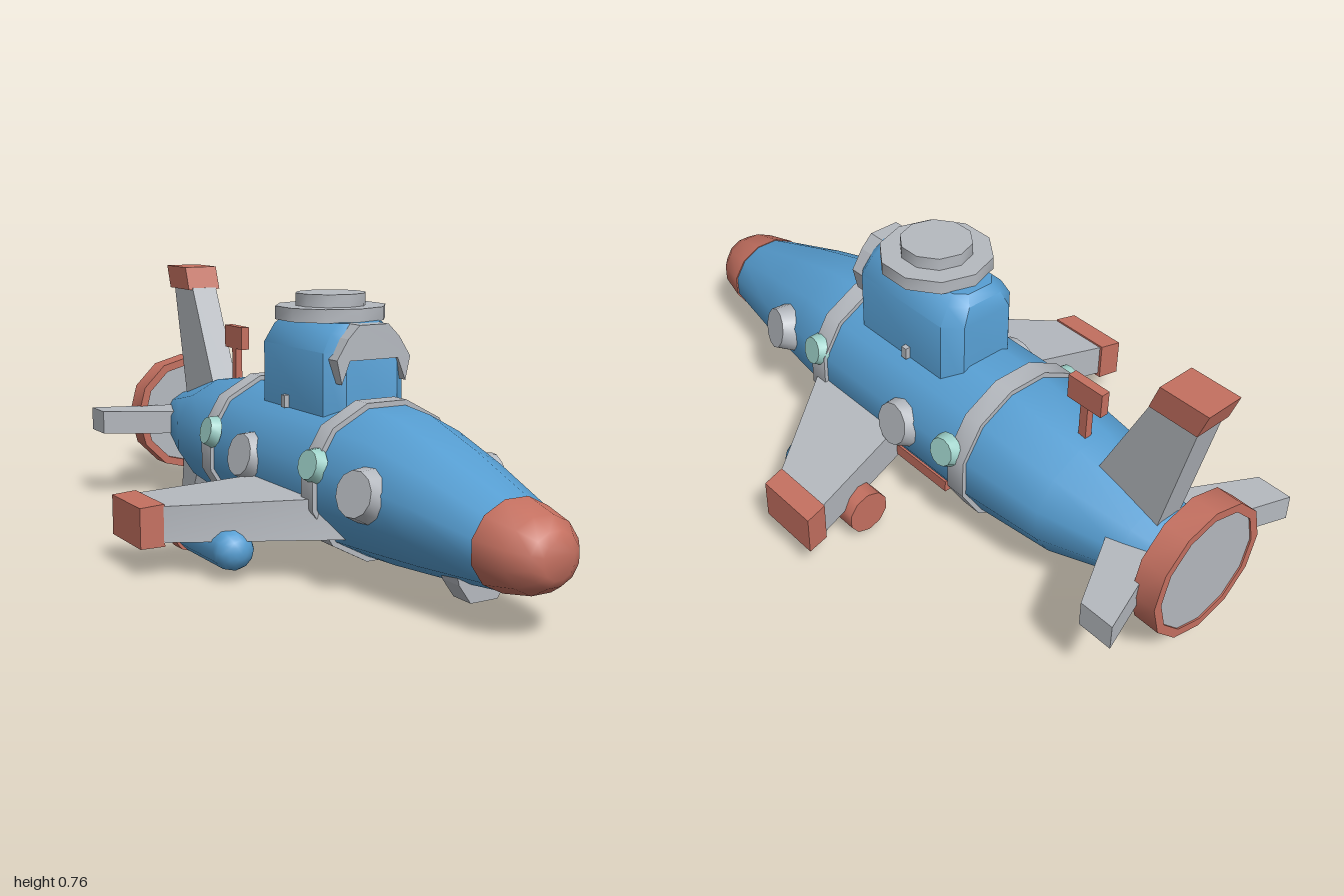
import * as THREE from 'three';
import { toCreasedNormals } from 'three/addons/utils/BufferGeometryUtils.js';

const paint = (name, color) => {
  const m = new THREE.MeshStandardMaterial({ color });
  m.name = name;
  return m;
};

// Closed solid through a list of rings with equal point counts
function loft(rings, crease = 0.75) {
  const n = rings[0].length, last = (rings.length - 1) * n, pts = rings.flat();
  let tris = [];
  for (let r = 0; r < last; r += n) {
    for (let i = 0; i < n; i++) {
      const j = (i + 1) % n;
      tris.push([r + i, r + j, r + n + j], [r + i, r + n + j, r + n + i]);
    }
  }
  for (let i = 1; i < n - 1; i++) tris.push([0, i + 1, i], [last, last + i, last + i + 1]);
  // Flip the faces if the solid came out inside out
  const v = pts.map(p => new THREE.Vector3(...p));
  const volume = tris.reduce((s, [a, b, c]) => s + v[a].dot(v[b].clone().cross(v[c])), 0);
  if (volume < 0) tris = tris.map(([a, b, c]) => [a, c, b]);
  const g = new THREE.BufferGeometry();
  g.setAttribute('position', new THREE.Float32BufferAttribute(pts.flat(), 3));
  g.setIndex(tris.flat());
  return toCreasedNormals(g, crease);
}

// Twelve-sided oval with a flat top; rx and ry reach the flats
function oval(z, y, rx, ry) {
  return Array.from({ length: 12 }, (_, i) => {
    const a = (i + 0.5) * Math.PI / 6, k = 1 / Math.cos(Math.PI / 12);
    return [Math.cos(a) * rx * k, y + Math.sin(a) * ry * k, z];
  });
}

// Rectangle with cut corners, lying flat at height y
function cutRect(y, hx, z0, z1, c) {
  return [[hx, z0 + c], [hx, z1 - c], [hx - c, z1], [c - hx, z1],
    [-hx, z1 - c], [-hx, z0 + c], [c - hx, z0], [hx - c, z0]].map(([x, z]) => [x, y, z]);
}

const disc = (r0, r1, h, sides = 12) => toCreasedNormals(new THREE.CylinderGeometry(r0, r1, h, sides), 0.75);

export function createModel() {
  const group = new THREE.Group();
  const blue = paint('blue hull paint', 0x579fd3);
  const red = paint('red trim paint', 0xc47060);
  const gray = paint('light gray metal', 0xb5b9bf);
  const teal = paint('teal glass', 0x9dd0c8);

  const add = (name, geometry, material, x = 0, y = 0, z = 0) => {
    const m = new THREE.Mesh(geometry, material);
    m.name = name;
    m.position.set(x, y, z);
    group.add(m);
    return m;
  };
  const box = (name, mat, w, h, d, x, y, z) => add(name, new THREE.BoxGeometry(w, h, d), mat, x, y, z);

  // Hull and nose
  add('hull', loft([
    oval(-0.94, 0.25, 0.08, 0.08), oval(-0.82, 0.25, 0.125, 0.11), oval(-0.6, 0.25, 0.195, 0.17),
    oval(-0.35, 0.255, 0.217, 0.2), oval(0.28, 0.255, 0.217, 0.2), oval(0.42, 0.253, 0.2, 0.192),
    oval(0.62, 0.233, 0.168, 0.157), oval(0.85, 0.207, 0.122, 0.108)]), blue);
  add('nose', loft([
    oval(0.845, 0.207, 0.128, 0.112), oval(0.94, 0.205, 0.106, 0.092),
    oval(0.985, 0.205, 0.07, 0.065), oval(1, 0.205, 0.045, 0.045)], 1.0), red);
  for (const z of [-0.328, 0.27]) {
    add('hullBand', loft([oval(z - 0.03, 0.255, 0.228, 0.213), oval(z + 0.03, 0.255, 0.228, 0.213)]), gray);
  }

  // Conning tower with hooded window and hatch
  add('tower', loft([
    cutRect(0.38, 0.125, -0.195, 0.225, 0.045), cutRect(0.59, 0.125, -0.195, 0.225, 0.045),
    cutRect(0.64, 0.095, -0.185, 0.21, 0.04), cutRect(0.665, 0.07, -0.165, 0.19, 0.03)]), blue);
  const half = [[0.045, 0.665], [0.08, 0.63], [0.115, 0.575], [0.1, 0.51], [0.075, 0.572]];
  const hood = new THREE.Shape([...half, ...half.map(([x, y]) => [-x, y]).reverse()]
    .map(p => new THREE.Vector2(...p)));
  add('towerWindow', new THREE.ExtrudeGeometry(hood, { depth: 0.07, bevelEnabled: false }), gray, 0, 0, 0.165);
  add('hatchBase', disc(0.157, 0.157, 0.037, 10), gray, 0, 0.682, 0.01);
  add('hatchLid', disc(0.1, 0.1, 0.035, 10), gray, 0, 0.718, 0.01);

  // Periscope
  box('periscopeStem', red, 0.022, 0.12, 0.025, 0, 0.475, -0.567);
  box('periscopeHead', red, 0.026, 0.07, 0.115, 0, 0.555, -0.567);

  // Upright tail fin, its cap, the lower fin and the front skid
  const slab = (y, hx, z0, z1) => [[-hx, y, z0], [hx, y, z0], [hx, y, z1], [-hx, y, z1]];
  add('upperFin', loft([slab(0.3, 0.042, -0.85, -0.61), slab(0.695, 0.042, -0.94, -0.8)], 0.3), gray);
  add('upperFinCap', loft([slab(0.69, 0.055, -0.945, -0.8), slab(0.762, 0.055, -0.97, -0.825)], 0.3), red);
  add('lowerFin', loft([slab(0.2, 0.038, -0.89, -0.74), slab(0.003, 0.038, -0.92, -0.835)], 0.3), gray);
  add('frontSkid', loft([slab(0.13, 0.085, 0.66, 0.73), slab(0.09, 0.075, 0.66, 0.73),
    slab(0.04, 0.04, 0.66, 0.73)], 0.3), gray);

  // Propeller shroud
  const rim = [[0.168, -0.035], [0.193, -0.035], [0.193, 0.04], [0.168, 0.04], [0.168, -0.035]]
    .map(p => new THREE.Vector2(...p));
  add('shroudRing', toCreasedNormals(new THREE.LatheGeometry(rim, 12), 0.75), red, 0, 0.262, -0.96)
    .rotation.x = Math.PI / 2;
  add('shroudDisc', disc(0.17, 0.17, 0.055), gray, 0, 0.262, -0.963).rotation.x = Math.PI / 2;

  for (const s of [1, -1]) {
    const side = s > 0 ? 'left' : 'right';

    // Wing, drooping outwards, with a painted tip
    const rib = (x, yLow, yHigh, z0, z1, lean = 0) => [
      [s * x, yLow, z0], [s * x, yHigh, z0], [s * x, yHigh, z1 - lean], [s * x, yLow, z1]];
    add(side + 'Wing', loft([rib(0.15, 0.13, 0.235, -0.04, 0.37, 0.03),
      rib(0.54, 0.098, 0.196, -0.145, 0.035)], 0.3), gray);
    add(side + 'WingTip', loft([rib(0.528, 0.088, 0.203, -0.15, 0.043),
      rib(0.592, 0.085, 0.196, -0.162, 0.03)], 0.3), red);
    box(side + 'WingRootStrip', red, 0.035, 0.035, 0.53, s * 0.185, 0.15, 0.005);

    // Swept tailplane
    add(side + 'Tailplane', loft([rib(0.05, 0.225, 0.298, -0.9, -0.73),
      rib(0.14, 0.225, 0.298, -0.92, -0.78), rib(0.33, 0.225, 0.298, -0.985, -0.885)], 0.3), gray);

    // Pod under the wing
    add(side + 'Pod', new THREE.CapsuleGeometry(0.057, 0.22, 5, 12), blue, s * 0.382, 0.085, 0.035)
      .rotation.x = Math.PI / 2;
    add(side + 'PodCap', disc(0.063, 0.063, 0.055, 10), red, s * 0.382, 0.085, -0.12)
      .rotation.x = Math.PI / 2;

    // Portholes: name, material, radius, thickness, position, forward lean
    const ports = [
      ['FrontPorthole', gray, 0.073, 0.05, 0.2, 0.277, 0.485, 0.25],
      ['MiddlePorthole', gray, 0.073, 0.045, 0.222, 0.28, -0.085, 0.06],
      ['FrontLight', teal, 0.048, 0.03, 0.222, 0.318, 0.285, 0.12],
      ['RearLight', teal, 0.048, 0.03, 0.232, 0.318, -0.29, -0.05]];
    for (const [name, mat, r, t, x, y, z, lean] of ports) {
      const p = add(side + name, disc(r * 0.82, r, t), mat, s * x, y, z);
      p.quaternion.setFromUnitVectors(new THREE.Vector3(0, 1, 0),
        new THREE.Vector3(s, 0.24, lean).normalize());
    }

    // Small step beside the tower
    box(side + 'Step', gray, 0.04, 0.035, 0.018, s * 0.12, 0.437, -0.015);
  }
  return group;
}
